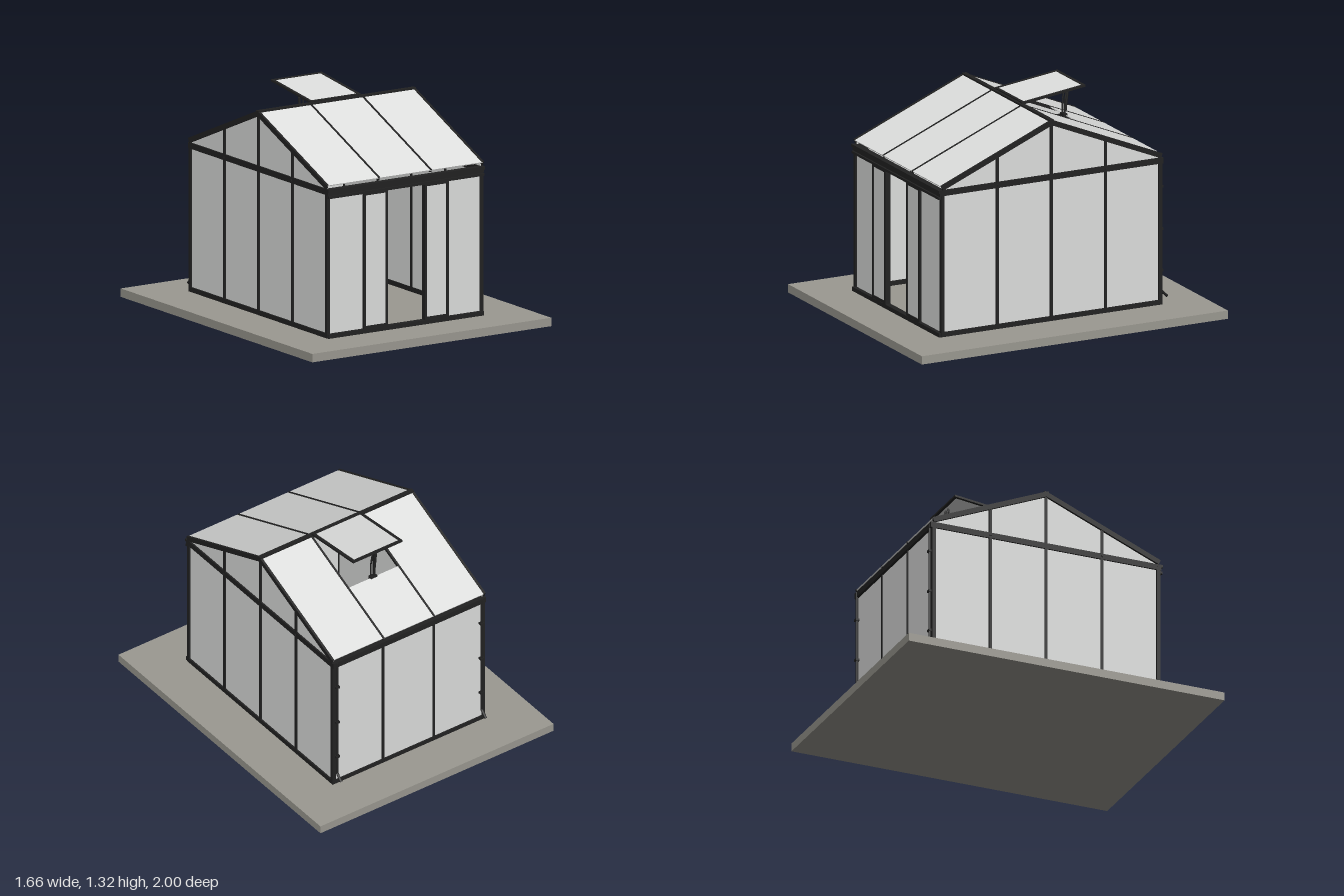
import * as THREE from 'three';

export function createModel() {
  const model = new THREE.Group();
  model.name = 'greenhouse';
  const mat = (name, color) => Object.assign(new THREE.MeshStandardMaterial({ color }), { name });
  const frame = mat('dark frame', 0x222222);
  const glass = mat('pale panel', 0xdedfde);
  const stone = mat('stone base', 0x9b9991);

  // Box given by its lower and upper corners
  const box = (parent, name, m, x0, x1, y0, y1, z0, z1) => {
    const mesh = new THREE.Mesh(new THREE.BoxGeometry(x1 - x0, y1 - y0, z1 - z0), m);
    mesh.position.set((x0 + x1) / 2, (y0 + y1) / 2, (z0 + z1) / 2);
    mesh.name = name;
    parent.add(mesh);
    return mesh;
  };
  // Round rod between two points
  const rod = (parent, name, a, b, r) => {
    const p = new THREE.Vector3(...a), q = new THREE.Vector3(...b);
    const mesh = new THREE.Mesh(new THREE.CylinderGeometry(r, r, p.distanceTo(q), 10), frame);
    mesh.position.copy(p).add(q).multiplyScalar(0.5);
    mesh.quaternion.setFromUnitVectors(new THREE.Vector3(0, 1, 0), q.sub(p).normalize());
    mesh.name = name;
    parent.add(mesh);
  };
  const part = (name, parent = model) => {
    const g = new THREE.Group();
    g.name = name;
    parent.add(g);
    return g;
  };

  const W = 0.54, D = 0.72, base = 0.05, eave = 0.935, ridge = 1.255, rise = 0.3;
  const pitch = Math.atan2(rise, D), slope = Math.hypot(rise, D);

  box(model, 'baseSlab', stone, -0.83, 0.83, 0, base, -1, 1);

  // Gable ends: one panel each, with sill, tie beam and uprights
  for (const s of [-1, 1]) {
    const g = part(s > 0 ? 'leftGable' : 'rightGable');
    const outline = new THREE.Shape();
    [[-0.71, base], [0.71, base], [0.71, 0.945], [0, ridge - 0.01], [-0.71, 0.945]]
      .forEach(([z, y], i) => (i ? outline.lineTo(-z, y) : outline.moveTo(-z, y)));
    const geo = new THREE.ExtrudeGeometry(outline, { depth: 0.006, bevelEnabled: false });
    geo.rotateY(Math.PI / 2);
    const panel = new THREE.Mesh(geo, glass);
    panel.position.x = s * 0.53 - 0.003;
    panel.name = 'gablePanel';
    g.add(panel);
    const x0 = s * 0.532 - 0.011, x1 = s * 0.532 + 0.011;
    box(g, 'gableSill', frame, x0, x1, base, 0.078, -D, D);
    box(g, 'tieBeam', frame, x0, x1, 0.9, eave, -0.73, 0.73);
    for (const z of [-0.354, 0, 0.354]) {
      box(g, 'gableUpright', frame, x0, x1, base, ridge - 0.012 - Math.abs(z) * rise / D, z - 0.008, z + 0.008);
    }
    for (const z of [-0.354, 0.354]) box(g, 'bolt', frame, s * 0.545 - 0.005, s * 0.545 + 0.005, 0.912, 0.922, z - 0.005, z + 0.005);
    for (const z of [-0.711, 0.711]) box(g, 'cornerPost', frame, x0, x1, base, eave, z - 0.011, z + 0.011);
  }

  // Back wall
  const back = part('backWall');
  box(back, 'backPanel', glass, -W + 0.01, W - 0.01, base, 0.92, -0.714, -0.708);
  box(back, 'backSill', frame, -W, W, base, 0.075, -0.722, -0.7);
  box(back, 'backBeam', frame, -W, W, 0.9, eave, -0.73, -0.7);
  for (const x of [-0.18, 0.18]) box(back, 'backUpright', frame, x - 0.008, x + 0.008, base, 0.92, -0.72, -0.702);

  // Front wall with an open doorway
  const front = part('frontWall');
  box(front, 'frontSill', frame, -W, W, base, 0.075, 0.7, 0.735);
  box(front, 'frontBeam', frame, -W, W, 0.885, 0.918, 0.7, 0.728);
  box(front, 'upperRail', frame, -W - 0.004, W + 0.004, 0.918, eave, 0.7, 0.738);
  box(front, 'doorTrack', frame, -W, W, 0.88, 0.895, 0.7, 0.738);
  for (const s of [-1, 1]) {
    const span = (parent, name, m, a, b, ...rest) => box(parent, name, m, Math.min(s * a, s * b), Math.max(s * a, s * b), ...rest);
    span(front, 'frontPanel', glass, 0.14, 0.53, base, 0.9, 0.706, 0.712);
    span(front, 'doorPost', frame, 0.13, 0.145, base, 0.9, 0.7, 0.718);
    // Sliding door pushed aside
    const door = part(s > 0 ? 'leftDoor' : 'rightDoor');
    span(door, 'doorPanel', glass, 0.135, 0.285, 0.08, 0.875, 0.724, 0.729);
    span(door, 'doorStile', frame, 0.128, 0.143, 0.055, 0.885, 0.72, 0.734);
    span(door, 'doorStile', frame, 0.28, 0.295, 0.055, 0.885, 0.72, 0.734);
    span(door, 'doorBottomRail', frame, 0.13, 0.293, 0.055, 0.092, 0.72, 0.734);
    span(door, 'doorTopRail', frame, 0.13, 0.293, 0.868, 0.885, 0.72, 0.734);
  }

  // Roof slopes: local +z runs down the slope from the ridge
  const hole = 0.4;
  for (const side of ['front', 'back']) {
    const turn = part(side + 'Roof');
    turn.position.y = ridge;
    if (side === 'back') turn.rotation.y = Math.PI;
    const g = part('roofSlope', turn);
    g.rotation.x = pitch;
    [-0.36, 0, 0.36].forEach((x) => {
      const start = side === 'back' && x === 0 ? hole : 0;
      box(g, 'roofPanel', glass, x - 0.18, x + 0.18, -0.003, 0.003, start, slope);
    });
    for (const x of [-0.18, 0.18]) box(g, 'roofBar', frame, x - 0.006, x + 0.006, -0.012, 0.006, 0, slope);
    for (const x of [-0.54, 0.54]) box(g, 'gableRafter', frame, x - 0.007, x + 0.007, -0.023, 0.007, 0, slope);
  }
  box(model, 'ridgeBar', frame, -0.547, 0.547, ridge - 0.012, ridge + 0.008, -0.014, 0.014);

  // Open roof vent, hinged at the ridge
  const ventTurn = part('roofVent');
  ventTurn.position.y = ridge + 0.008;
  ventTurn.rotation.y = Math.PI;
  const vent = part('ventLid', ventTurn);
  vent.rotation.x = -0.125;
  box(vent, 'ventPanel', glass, -0.168, 0.168, -0.003, 0.003, 0.01, 0.41);
  for (const x of [-0.167, 0.167]) box(vent, 'ventSideBar', frame, x - 0.009, x + 0.009, -0.006, 0.006, 0, 0.418);
  for (const z of [0.012, 0.41]) box(vent, 'ventCrossBar', frame, -0.175, 0.175, -0.006, 0.006, z - 0.008, z + 0.008);

  // Vent opener: a pair of bowed arms and a piston
  const opener = part('ventOpener');
  for (const x of [-0.014, 0.014]) {
    rod(opener, 'openerArm', [x, 1.1, -0.362], [x, 1.2, -0.365], 0.005);
    rod(opener, 'openerArm', [x, 1.2, -0.365], [x, 1.305, -0.385], 0.005);
  }
  rod(opener, 'openerPiston', [0, 1.12, -0.375], [0, 1.29, -0.395], 0.007);
  box(opener, 'openerFoot', frame, -0.022, 0.022, 1.09, 1.112, -0.378, -0.352);

  // Rain pipes at the back corners
  for (const x of [-0.515, 0.515]) {
    const g = part('rainPipe');
    rod(g, 'pipe', [x, 0.93, -0.727], [x, 0.125, -0.727], 0.008);
    rod(g, 'spout', [x, 0.13, -0.725], [x, 0.088, -0.768], 0.008);
    for (const y of [0.25, 0.5, 0.755]) box(g, 'pipeClip', frame, x - 0.013, x + 0.013, y - 0.007, y + 0.007, -0.738, -0.715);
  }
  return model;
}
